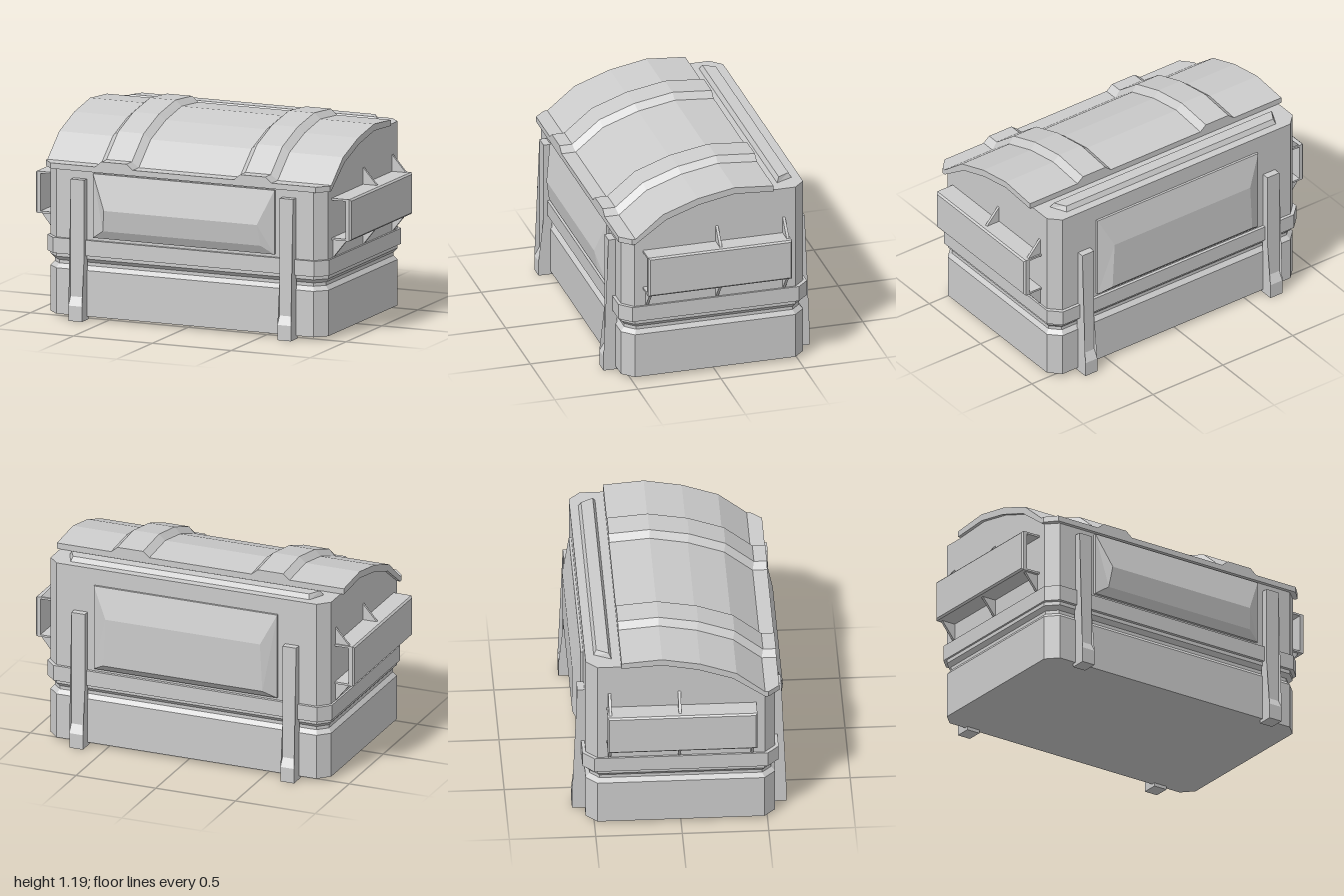
import * as THREE from 'three';

const material = new THREE.MeshStandardMaterial({ color: 0xcccccc, flatShading: true });

// Joins cross-sections of equal point count into a closed solid facing outwards.
function loft(name, sections) {
  const n = sections[0].length, last = sections.length - 1, tris = [];
  const quad = (a, b, c, d) => tris.push([a, b, c], [a, c, d]);
  for (let s = 0; s < last; s++) {
    const A = sections[s], B = sections[s + 1];
    for (let i = 0; i < n; i++) quad(A[i], A[(i + 1) % n], B[(i + 1) % n], B[i]);
  }
  // End caps, laid as a ladder between the two halves of the outline
  for (let i = 0; i < n / 2 - 1; i++) {
    const A = sections[0], B = sections[last], j = n - 1 - i;
    quad(A[j], A[j - 1], A[i + 1], A[i]);
    quad(B[i], B[i + 1], B[j - 1], B[j]);
  }
  const v = (p) => new THREE.Vector3(...p);
  const volume = tris.reduce((sum, [a, b, c]) => sum + v(a).dot(v(b).cross(v(c))), 0);
  const points = tris.flatMap(([a, b, c]) => (volume < 0 ? [a, c, b] : [a, b, c])).flat();
  const geometry = new THREE.BufferGeometry();
  geometry.setAttribute('position', new THREE.Float32BufferAttribute(points, 3));
  geometry.computeVertexNormals();
  const mesh = new THREE.Mesh(geometry, material);
  mesh.name = name;
  return mesh;
}

function box(name, x0, x1, y0, y1, z0, z1) {
  const mesh = new THREE.Mesh(new THREE.BoxGeometry(Math.abs(x1 - x0), y1 - y0, z1 - z0), material);
  mesh.position.set((x0 + x1) / 2, (y0 + y1) / 2, (z0 + z1) / 2);
  mesh.name = name;
  return mesh;
}

// Horizontal rectangle with cut corners
const ring = (y, x, z, c) => [
  [x, y, z - c], [x - c, y, z], [c - x, y, z], [-x, y, z - c],
  [-x, y, c - z], [c - x, y, -z], [x - c, y, -z], [x, y, c - z],
];

// Upright rectangle at depth z
const panelRect = (x, y0, y1, z) => [[-x, y0, z], [x, y0, z], [x, y1, z], [-x, y1, z]];

// Side outline [z, y] swept between two x positions
const prism = (name, x0, x1, outline) =>
  loft(name, [x0, x1].map((x) => outline.map(([z, y]) => [x, y, z])));

function createBody() {
  const body = new THREE.Group();
  body.name = 'body';
  // Lower tub with the groove around it
  body.add(loft('lowerTub', [
    ring(0.02, 0.88, 0.548, 0.065), ring(0.29, 0.88, 0.548, 0.065),
    ring(0.315, 0.86, 0.525, 0.055), ring(0.335, 0.86, 0.525, 0.055),
    ring(0.358, 0.88, 0.548, 0.065), ring(0.39, 0.88, 0.548, 0.065),
  ]));
  body.add(loft('waistBand', [ring(0.38, 0.892, 0.567, 0.065), ring(0.472, 0.892, 0.567, 0.065)]));
  // Upper walls, following the curve of the lid: depth, half width, height
  body.add(loft('upperWalls', [
    [0.548, 0.815, 0.88], [0.485, 0.88, 0.88], [0.3, 0.88, 1.01], [0.1, 0.88, 1.08],
    [-0.11, 0.88, 1.12], [-0.345, 0.88, 1.105], [-0.483, 0.88, 1.105], [-0.548, 0.815, 1.105],
  ].map(([z, w, h]) => panelRect(w, 0.46, h, z))));
  // Raised rail behind the lid
  const rail = (y, x, c, z0, z1) => [[-x, y, z0], [x, y, z0], [x - c, y, z1], [c - x, y, z1]];
  body.add(loft('topRail', [
    rail(1.1, 0.8, 0.05, -0.395, -0.5), rail(1.134, 0.78, 0.04, -0.412, -0.482),
  ]));
  return body;
}

function createLid() {
  const outer = [[0.57, 0.91], [0.485, 0.91], [0.32, 1.045], [0.11, 1.12], [-0.11, 1.16], [-0.345, 1.14]];
  const inner = [[0.57, 0.877], [0.485, 0.877], [0.3, 1.01], [0.1, 1.08], [-0.11, 1.12], [-0.345, 1.105]];
  // x position, height of the two raised ribs
  const half = [[0.32, 0], [0.36, 1], [0.52, 1], [0.56, 0], [0.84, 0], [0.9, 0]];
  const stations = [...half.map(([x, r]) => [-x, r]).reverse(), ...half];
  return loft('lid', stations.map(([x, raised]) => {
    const front = Math.abs(x) > 0.87 ? 0.505 : 0.57;
    const top = outer.map(([z, y], i) =>
      [x, y + raised * 0.033, i === 0 ? front : z + (i < 4 ? raised * 0.01 : 0)]);
    const under = inner.map(([z, y], i) => [x, y, i === 0 ? front : z]);
    return [...top, ...under.reverse()];
  }));
}

// Bulging panels on the front and back walls
function createPanels() {
  const front = loft('frontPanel', [
    panelRect(0.575, 0.49, 0.868, 0.54), panelRect(0.575, 0.49, 0.868, 0.564),
    [[-0.5, 0.54, 0.592], [0.5, 0.54, 0.592], [0.485, 0.665, 0.612], [-0.485, 0.665, 0.612]],
  ]);
  const back = loft('backPanel', [
    panelRect(0.575, 0.49, 1.005, -0.54), panelRect(0.575, 0.49, 1.005, -0.562),
    [[-0.5, 0.535, -0.606], [0.5, 0.535, -0.606], [0.485, 0.825, -0.606], [-0.485, 0.825, -0.606]],
  ]);
  return [front, back];
}

// Upright strap ending in a foot
function createLeg(sx, sz) {
  const outline = [[0.525, 0], [0.62, 0], [0.62, 0.09], [0.59, 0.14], [0.59, 0.83], [0.54, 0.83], [0.54, 0.14], [0.525, 0.09]];
  const name = (sz > 0 ? 'front' : 'back') + (sx > 0 ? 'LeftLeg' : 'RightLeg');
  return prism(name, sx * 0.62, sx * 0.705, outline.map(([z, y]) => [sz * z, y]));
}

// Open-ended lifting sleeve with gussets above and below
function createSleeve(s) {
  const sleeve = new THREE.Group();
  sleeve.name = s > 0 ? 'leftSleeve' : 'rightSleeve';
  sleeve.add(box('sleeveTop', s * 0.87, s * 0.98, 0.812, 0.824, -0.43, 0.435));
  sleeve.add(box('sleeveBottom', s * 0.87, s * 0.98, 0.578, 0.59, -0.43, 0.435));
  const wall = (x, d) => [
    [s * x, 0.578 + d, 0.435 - d], [s * x, 0.824 - d, 0.435 - d],
    [s * x, 0.824 - d, d - 0.43], [s * x, 0.578 + d, d - 0.43],
  ];
  sleeve.add(loft('sleeveWall', [wall(0.967, 0), wall(0.99, 0), wall(1, 0.01)]));
  const gusset = (z, yPlate, yTip) => {
    const tri = (d) => [[s * 0.87, yPlate, z + d], [s * 0.97, yPlate, z + d],
      [s * 0.88, yTip, z + d], [s * 0.87, yTip, z + d]];
    sleeve.add(loft('gusset', [tri(-0.008), tri(0.008)]));
  };
  for (const z of [-0.01, -0.413]) gusset(z, 0.82, 0.922);
  for (const z of [0.41, -0.01, -0.413]) gusset(z, 0.582, 0.47);
  return sleeve;
}

export function createModel() {
  const model = new THREE.Group();
  model.name = 'wasteContainer';
  model.add(createBody(), createLid(), ...createPanels());
  for (const sx of [1, -1]) {
    model.add(createSleeve(sx));
    for (const sz of [1, -1]) model.add(createLeg(sx, sz));
  }
  return model;
}
